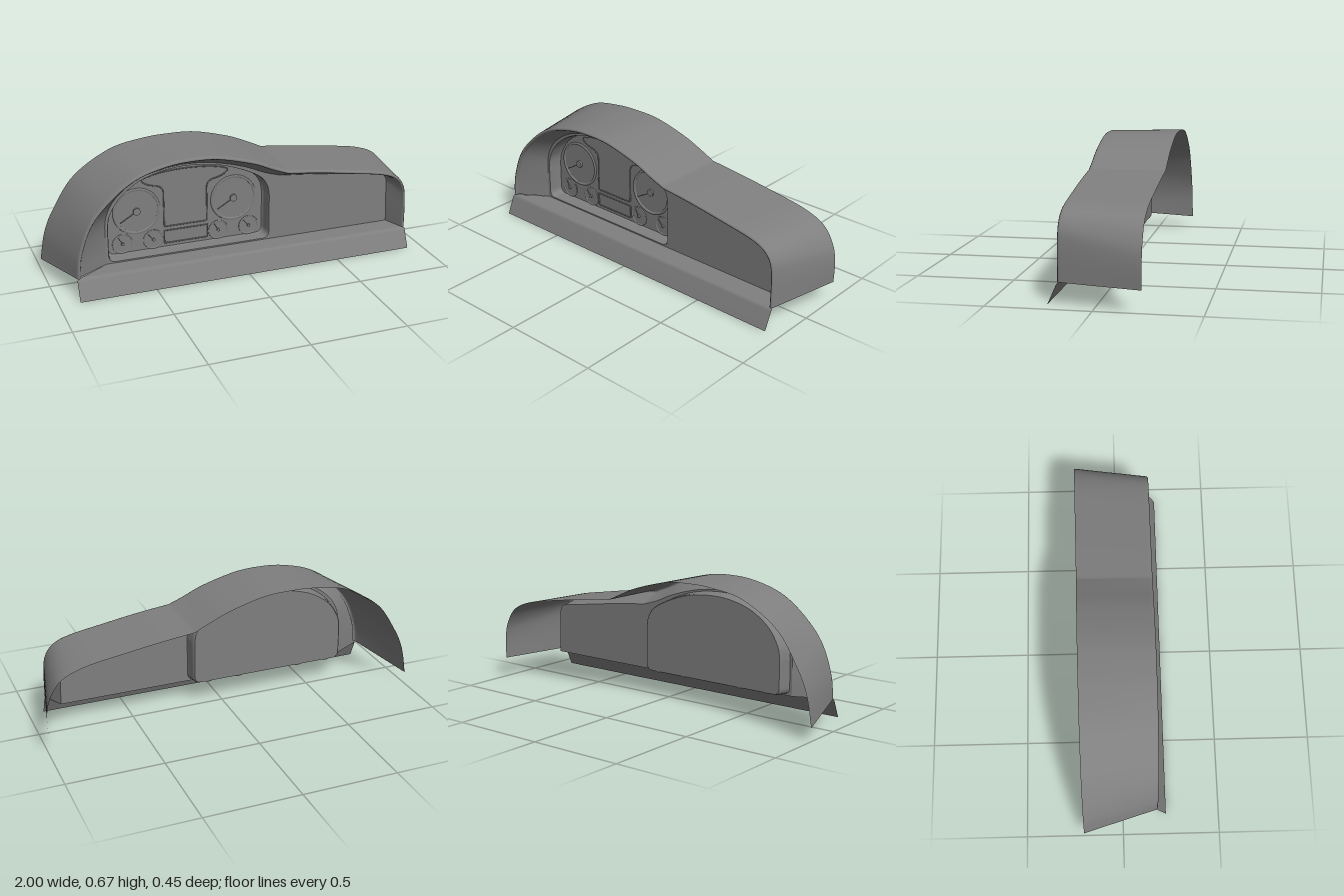
import * as THREE from 'three';

const mat = new THREE.MeshStandardMaterial({ color: 0x7f7f7f, side: THREE.DoubleSide });
const v2 = (x, y) => new THREE.Vector2(x, y);
const FACE_Z = 0.0, PANEL_Z = 0.07;

function mesh(name, geometry, parent) {
  const m = new THREE.Mesh(geometry, mat);
  m.name = name;
  parent.add(m);
  return m;
}

// Skin a list of rows, each with the same number of points
function loft(rows) {
  const n = rows[0].length, pos = [], idx = [];
  rows.forEach(r => r.forEach(p => pos.push(p.x, p.y, p.z)));
  for (let i = 0; i < rows.length - 1; i++)
    for (let j = 0; j < n - 1; j++) {
      const a = i * n + j, b = a + n;
      idx.push(a, a + 1, b, a + 1, b + 1, b);
    }
  const g = new THREE.BufferGeometry();
  g.setAttribute('position', new THREE.Float32BufferAttribute(pos, 3));
  g.setIndex(idx);
  g.computeVertexNormals();
  return g;
}

// Outline in two smooth spans (tall hood, low shelf) meeting at a soft crease
function outline(hood, shelf) {
  const sample = (pts, n) => new THREE.SplineCurve(pts.map(p => v2(...p))).getPoints(n);
  return [...sample(hood, 60), ...sample([hood[hood.length - 1], ...shelf], 42).slice(1)];
}

const backEdge = outline(
  [[-1, 0.066], [-0.97, 0.22], [-0.91, 0.35], [-0.8, 0.505], [-0.61, 0.622], [-0.43, 0.659],
    [-0.28, 0.666], [-0.14, 0.657], [0.04, 0.61], [0.16, 0.56], [0.23, 0.527]],
  [[0.4, 0.508], [0.6, 0.48], [0.8, 0.447], [0.92, 0.396], [0.98, 0.31], [1, 0.22], [1, 0.105]]);
const frontEdge = outline(
  [[-0.895, 0.105], [-0.88, 0.23], [-0.82, 0.385], [-0.71, 0.51], [-0.58, 0.6], [-0.42, 0.648],
    [-0.28, 0.66], [-0.14, 0.65], [0.04, 0.603], [0.15, 0.556], [0.23, 0.525]],
  [[0.4, 0.505], [0.58, 0.477], [0.77, 0.444], [0.855, 0.41], [0.903, 0.35], [0.917, 0.26], [0.92, 0.105]]);
const panelEdge = outline(
  [[-0.718, 0.11], [-0.718, 0.23], [-0.712, 0.36], [-0.655, 0.463], [-0.54, 0.545], [-0.4, 0.585],
    [-0.27, 0.595], [-0.13, 0.58], [0.02, 0.54], [0.14, 0.49], [0.23, 0.462]],
  [[0.4, 0.445], [0.58, 0.42], [0.76, 0.395], [0.82, 0.387], [0.848, 0.36], [0.853, 0.3], [0.86, 0.11]]);

// Opening of the instrument cluster
function clusterShape() {
  const s = new THREE.Shape();
  s.moveTo(-0.67, 0.117);
  s.lineTo(0.13, 0.117);
  s.quadraticCurveTo(0.168, 0.117, 0.168, 0.155);
  s.lineTo(0.168, 0.36);
  s.splineThru([[0.155, 0.42], [0.11, 0.475], [0, 0.53], [-0.13, 0.57], [-0.27, 0.585], [-0.4, 0.575],
    [-0.53, 0.535], [-0.635, 0.46], [-0.692, 0.37], [-0.705, 0.3]].map(p => v2(...p)));
  s.lineTo(-0.705, 0.155);
  s.quadraticCurveTo(-0.705, 0.117, -0.67, 0.117);
  return s;
}

// Thin raised outline on the cluster face
function trim(name, pts, parent) {
  const path = new THREE.CurvePath();
  const z = FACE_Z + 0.003;
  pts.forEach((p, i) => {
    const q = pts[(i + 1) % pts.length];
    if (p.distanceTo(q) > 1e-5)
      path.add(new THREE.LineCurve3(new THREE.Vector3(p.x, p.y, z), new THREE.Vector3(q.x, q.y, z)));
  });
  mesh(name, new THREE.TubeGeometry(path, 140, 0.003, 6, true), parent);
}

// Dial with a ring, hub and needle
function dial(name, x, y, r, angle, parent) {
  const g = new THREE.Group();
  g.name = name;
  g.position.set(x, y, FACE_Z);
  const w = r > 0.1 ? 0.007 : 0.004;
  const profile = [v2(r + w, 0), v2(r + w * 0.7, w * 0.8), v2(r - w * 0.7, w * 0.8), v2(r - w, 0)];
  mesh('ring', new THREE.LatheGeometry(profile, 48), g).rotation.x = Math.PI / 2;
  const hub = mesh('hub', new THREE.CylinderGeometry(r * 0.16, r * 0.16, 0.01, 20), g);
  hub.rotation.x = Math.PI / 2;
  hub.position.z = 0.0055;
  const needle = mesh('needle', new THREE.BoxGeometry(r * 0.85, 0.004, 0.003), g);
  needle.position.set(Math.cos(angle) * r * 0.45, Math.sin(angle) * r * 0.45, 0.006);
  needle.rotation.z = angle;
  parent.add(g);
}

export function createModel() {
  const model = new THREE.Group();
  model.name = 'dashboardHood';

  // Hood: outer skin, rolled lip, then the inner wall down to the panel
  const at = (edge, z) => edge.map(p => new THREE.Vector3(p.x, p.y, z));
  const inset = (d, z) => frontEdge.map((p, i) => {
    const q = p.clone().add(panelEdge[i].clone().sub(p).setLength(d));
    return new THREE.Vector3(q.x, q.y, z);
  });
  const back = backEdge.map(p => new THREE.Vector3(p.x, p.y, -0.213 - 0.01 * p.x));
  const front = at(frontEdge, 0.168);
  const between = t => back.map((p, i) => p.clone().lerp(front[i], t));
  mesh('hood', loft([back, between(0.33), between(0.66), between(0.96), front,
    inset(0.003, 0.175), inset(0.009, 0.179), inset(0.015, 0.176), inset(0.019, 0.168),
    inset(0.021, 0.16), at(panelEdge, PANEL_Z)]), model);

  // Dashboard panel with the cluster opening cut out
  const opening = clusterShape().getPoints(10);
  const panel = new THREE.Shape(panelEdge);
  panel.holes.push(new THREE.Path(opening));
  mesh('panel', new THREE.ShapeGeometry(panel), model).position.z = PANEL_Z;

  // Floor rolling over softly into the sloping front skirt
  const edgeRow = (x0, x1, y, z) => [new THREE.Vector3(x1, y, z), new THREE.Vector3(x0, y, z)];
  mesh('floorAndSkirt', loft([
    edgeRow(-0.718, 0.86, 0.11, PANEL_Z), edgeRow(-0.862, 0.907, 0.106, 0.16),
    edgeRow(-0.88, 0.914, 0.1045, 0.171), edgeRow(-0.895, 0.92, 0.1, 0.179),
    edgeRow(-0.895, 0.92, 0.09, 0.185), edgeRow(-0.895, 0.92, 0, 0.225)]), model);

  // Recessed instrument cluster
  const cluster = new THREE.Group();
  cluster.name = 'instrumentCluster';
  model.add(cluster);
  const shrink = s => opening.map(p => v2(-0.27 + (p.x + 0.27) * s, 0.34 + (p.y - 0.34) * s));
  const ring = (s, z) => { const r = at(shrink(s), z); r.push(r[0].clone()); return r; };
  mesh('recessWall', loft([ring(1, PANEL_Z), ring(0.992, 0.064), ring(0.982, 0.02),
    ring(0.976, 0.007), ring(0.962, FACE_Z)]), cluster);
  mesh('clusterFace', new THREE.ShapeGeometry(new THREE.Shape(shrink(0.962))), cluster).position.z = FACE_Z;

  // Two large dials and four small ones
  [-0.533, -0.008].forEach(x => dial('largeDial', x, 0.345, 0.119, Math.PI * 1.17, cluster));
  [[-0.613, 2.1], [-0.448, 2.3], [-0.093, 2.1], [0.077, 2.3]].forEach(([x, a]) =>
    dial('smallDial', x, 0.175, 0.05, a, cluster));

  // Centre screen outline that widens into a warning light band
  const screen = new THREE.Shape();
  screen.moveTo(-0.388, 0.238);
  screen.lineTo(-0.155, 0.238);
  screen.lineTo(-0.155, 0.43);
  screen.quadraticCurveTo(-0.15, 0.465, -0.11, 0.47);
  screen.quadraticCurveTo(-0.045, 0.485, -0.037, 0.512);
  screen.quadraticCurveTo(-0.1, 0.545, -0.272, 0.547);
  screen.quadraticCurveTo(-0.44, 0.545, -0.503, 0.512);
  screen.quadraticCurveTo(-0.5, 0.485, -0.43, 0.47);
  screen.quadraticCurveTo(-0.393, 0.465, -0.388, 0.43);
  screen.lineTo(-0.388, 0.238);
  trim('screenTrim', screen.getPoints(8), cluster);

  // Lower readout
  trim('readoutTrim', [v2(-0.388, 0.145), v2(-0.152, 0.145), v2(-0.152, 0.215), v2(-0.388, 0.215)], cluster);

  return model;
}
